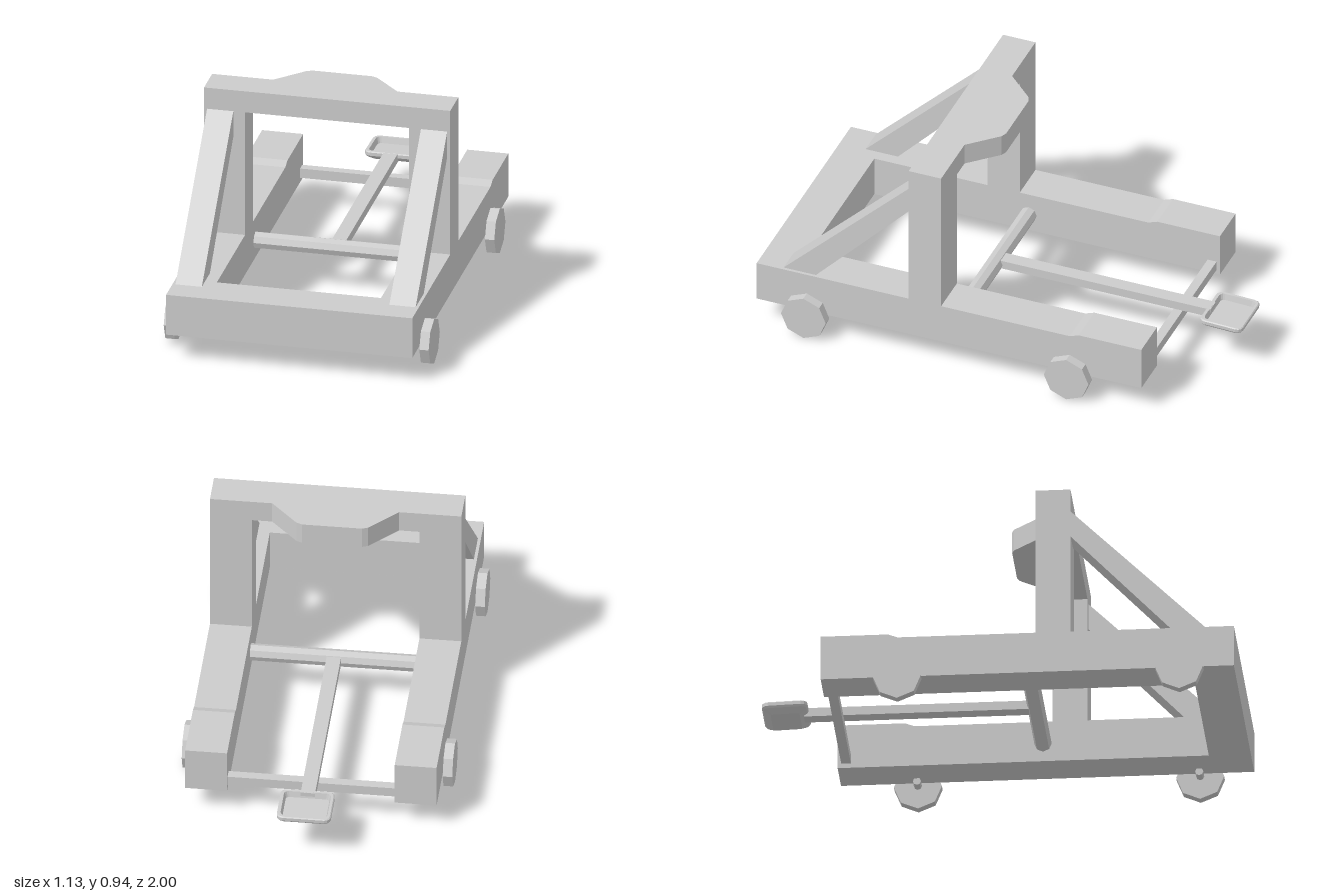
import * as THREE from 'three';

const material = new THREE.MeshStandardMaterial({ color: 0xcccccc, flatShading: true });

function add(parent, name, geometry) {
  const mesh = new THREE.Mesh(geometry, material);
  mesh.name = name;
  parent.add(mesh);
  return mesh;
}

// Box given by its minimum and maximum corners
function box(x0, x1, y0, y1, z0, z1) {
  return new THREE.BoxGeometry(x1 - x0, y1 - y0, z1 - z0)
    .translate((x0 + x1) / 2, (y0 + y1) / 2, (z0 + z1) / 2);
}

// Side profile of [z, y] points, extruded from x0 to x1
function sidePrism(points, x0, x1) {
  const shape = new THREE.Shape(points.map(([z, y]) => new THREE.Vector2(z, y)));
  return new THREE.ExtrudeGeometry(shape, { depth: x1 - x0, bevelEnabled: false })
    .rotateY(-Math.PI / 2).translate(x1, 0, 0);
}

// Plan of [x, z] points, extruded from y0 to y1
function planPrism(points, y0, y1) {
  const shape = new THREE.Shape(points.map(([x, z]) => new THREE.Vector2(x, -z)));
  return new THREE.ExtrudeGeometry(shape, { depth: y1 - y0, bevelEnabled: false })
    .rotateX(-Math.PI / 2).translate(0, y0, 0);
}

// Eight-sided rod along x with a corner pointing up
function rod(radius, x0, x1, y, z) {
  return new THREE.CylinderGeometry(radius, radius, x1 - x0, 8)
    .rotateZ(Math.PI / 2).translate((x0 + x1) / 2, y, z);
}

// Shallow tray lofted through rounded rectangles, from underside to inner floor
function trayGeometry(halfW, halfD) {
  const levels = [[0.035, -0.022], [0.006, -0.004], [0, 0.004], [0, 0.018],
    [0.004, 0.022], [0.015, 0.022], [0.022, -0.004]];
  const steps = 3, n = 4 * (steps + 1);
  const positions = [], index = [];
  for (const [inset, y] of levels) {
    const r = Math.max(0.008, 0.026 - inset * 0.5);
    for (let c = 0; c < 4; c++) {
      const sx = c === 0 || c === 3 ? 1 : -1, sz = c < 2 ? 1 : -1;
      for (let i = 0; i <= steps; i++) {
        const a = (c + i / steps) * Math.PI / 2;
        positions.push(sx * (halfW - inset - r) + r * Math.cos(a), y,
          sz * (halfD - inset - r) + r * Math.sin(a));
      }
    }
  }
  for (let l = 0; l < levels.length - 1; l++) {
    for (let i = 0; i < n; i++) {
      const a = l * n + i, b = l * n + (i + 1) % n;
      index.push(a, a + n, b, b, a + n, b + n);
    }
  }
  // Close the underside and the floor
  const last = (levels.length - 1) * n;
  for (let i = 1; i < n - 1; i++) {
    index.push(0, i, i + 1, last, last + i + 1, last + i);
  }
  const geometry = new THREE.BufferGeometry();
  geometry.setAttribute('position', new THREE.Float32BufferAttribute(positions, 3));
  geometry.setIndex(index);
  const flat = geometry.toNonIndexed();
  flat.computeVertexNormals();
  return flat;
}

export function createModel() {
  const model = new THREE.Group();
  model.name = 'catapult';

  // Base frame: front beam here, rails in the mirrored loop
  add(model, 'frontBeam', box(-0.35, 0.35, 0.115, 0.295, 0.825, 1));
  const rail = [[1, 0.115], [1, 0.295], [-0.4, 0.295], [-0.44, 0.31], [-0.72, 0.31], [-0.72, 0.115]];
  const brace = [[0.885, 0.295], [0.74, 0.295], [0.32, 0.735], [0.32, 0.85]];

  for (const side of [1, -1]) {
    const span = (a, b) => (side > 0 ? [a, b] : [-b, -a]);
    const label = side > 0 ? 'left' : 'right';
    add(model, label + 'Rail', sidePrism(rail, ...span(0.35, 0.525)));
    add(model, label + 'Post', box(...span(0.35, 0.525), 0.295, 0.85, 0.175, 0.32));
    add(model, label + 'Brace', sidePrism(brace, ...span(0.4, 0.512)));

    // Wheels on short axle stubs
    for (const [end, z] of [['Front', 0.775], ['Rear', -0.4]]) {
      add(model, label + end + 'Wheel', rod(0.1, ...span(0.525, 0.565), 0.1, z));
      add(model, label + end + 'Axle', rod(0.017, ...span(0.475, 0.53), 0.102, z));
    }
  }

  // Top crossbeam with the stop block bulging to the rear
  add(model, 'crossbeam', planPrism([
    [-0.525, 0.32], [0.525, 0.32], [0.525, 0.175], [0.265, 0.175], [0.15, 0.055], [0.125, 0.045],
    [-0.125, 0.045], [-0.15, 0.055], [-0.265, 0.175], [-0.525, 0.175],
  ], 0.85, 0.945));

  // Pivot roller, rear rest bar and throwing arm
  add(model, 'pivotRoller', rod(0.036, -0.36, 0.36, 0.195, 0.135));
  add(model, 'restBar', box(-0.36, 0.36, 0.135, 0.177, -0.705, -0.665));
  add(model, 'throwingArm', box(-0.03, 0.03, 0.179, 0.217, -0.83, 0.135));

  // Bucket at the end of the arm
  const bucket = add(model, 'bucket', trayGeometry(0.113, 0.095));
  bucket.position.set(0, 0.193, -0.905);
  bucket.rotation.x = -0.03;

  return model;
}
